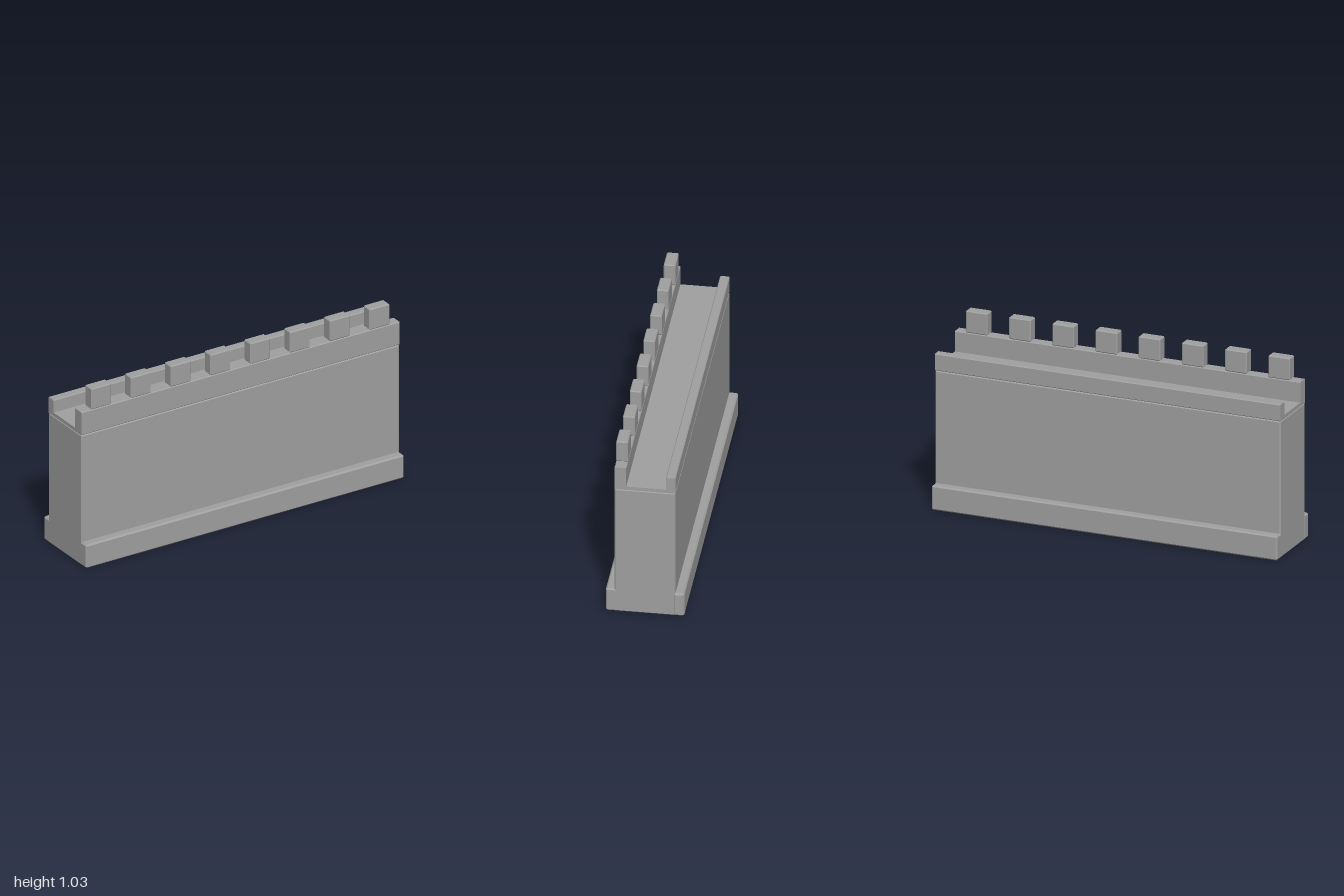
import * as THREE from 'three';
import { ConvexGeometry } from 'three/addons/geometries/ConvexGeometry.js';

const stone = new THREE.MeshStandardMaterial({ color: 0xa0a0a0 });
stone.name = 'grey stone';

// Box with all edges chamfered, given by its min and max corners
function chamferBox(name, min, max, c) {
  const h = min.map((v, i) => (max[i] - v) / 2);
  const points = [];
  for (const sx of [-1, 1]) for (const sy of [-1, 1]) for (const sz of [-1, 1]) {
    for (let axis = 0; axis < 3; axis++) {
      const [x, y, z] = h.map((v, i) => (i === axis ? v : v - c));
      points.push(new THREE.Vector3(sx * x, sy * y, sz * z));
    }
  }
  const mesh = new THREE.Mesh(new ConvexGeometry(points), stone);
  mesh.position.set(...min.map((v, i) => v + h[i]));
  mesh.name = name;
  return mesh;
}

export function createModel() {
  const wall = new THREE.Group();
  wall.name = 'battlementWall';

  // Main wall and the two footings along its long sides
  wall.add(chamferBox('wallBody', [-1, 0, -0.163], [1, 0.77, 0.163], 0.007));
  wall.add(chamferBox('frontFooting', [-1, 0, 0.15], [1, 0.138, 0.21], 0.008));
  wall.add(chamferBox('backFooting', [-1, 0, -0.21], [1, 0.138, -0.15], 0.008));

  // Walkway with a tall front parapet and a low rear one, as (z, y) points
  const c = 0.004;
  const profile = [
    [-0.163 + c, 0.769], [0.163 - c, 0.769], [0.163, 0.769 + c],
    [0.163, 0.905 - c], [0.163 - c, 0.905], [0.1 + c, 0.905], [0.1, 0.905 - c],
    [0.1, 0.79], [-0.112, 0.79],
    [-0.112, 0.863 - c], [-0.112 - c, 0.863], [-0.163 + c, 0.863],
    [-0.163, 0.863 - c], [-0.163, 0.769 + c],
  ];
  const shape = new THREE.Shape(profile.map(([z, y]) => new THREE.Vector2(-z, y)));
  const walkGeometry = new THREE.ExtrudeGeometry(shape, { depth: 2, bevelEnabled: false });
  walkGeometry.translate(0, 0, -1).rotateY(Math.PI / 2);
  const walkway = new THREE.Mesh(walkGeometry, stone);
  walkway.name = 'walkwayAndParapets';
  wall.add(walkway);

  // Row of merlons on the front parapet
  for (let i = 0; i < 8; i++) {
    const x = -0.875 + i * 0.25;
    wall.add(chamferBox('merlon' + (i + 1), [x - 0.063, 0.905, 0.1], [x + 0.063, 1.028, 0.163], 0.005));
  }
  return wall;
}
